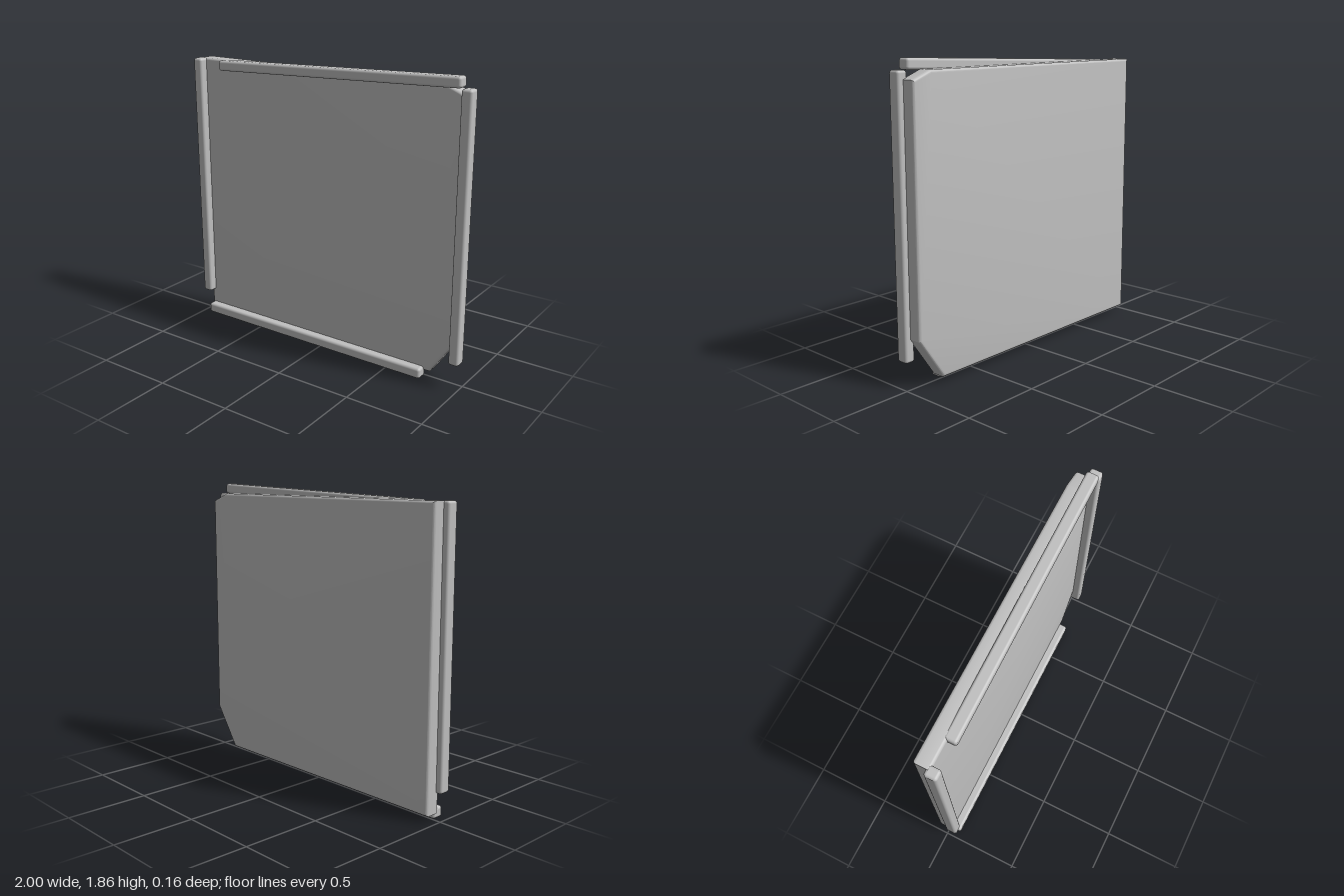
import * as THREE from 'three';
import { toCreasedNormals } from 'three/addons/utils/BufferGeometryUtils.js';
import { RoundedBoxGeometry } from 'three/addons/geometries/RoundedBoxGeometry.js';

const grey = new THREE.MeshStandardMaterial({ color: 0xc0c0c0 });
grey.name = 'light grey';

// Flat panel with cut corners and softened edges
function makePanel() {
  const outline = [
    [-0.965, 0.04], [0.785, 0.04], [0.963, 0.3],
    [0.963, 1.75], [0.835, 1.8], [-0.965, 1.8],
  ].map(([x, y]) => new THREE.Vector2(x, y));
  const bevel = 0.018, back = -0.078, front = 0.025;
  const geometry = new THREE.ExtrudeGeometry(new THREE.Shape(outline), {
    depth: front - back - 2 * bevel,
    bevelThickness: bevel,
    bevelSize: bevel,
    bevelOffset: -bevel,
    bevelSegments: 6,
  });
  geometry.translate(0, 0, back + bevel);
  const mesh = new THREE.Mesh(toCreasedNormals(geometry, 0.35), grey);
  mesh.name = 'panel';
  return mesh;
}

// Rounded trim bar along one edge
function makeTrim(name, width, height, x, y, tilt = 0) {
  const mesh = new THREE.Mesh(new RoundedBoxGeometry(width, height, 0.078, 4, 0.017), grey);
  mesh.name = name;
  mesh.position.set(x, y, 0.039);
  mesh.rotation.z = tilt;
  return mesh;
}

export function createModel() {
  const model = new THREE.Group();
  model.name = 'trimmedPanel';
  model.add(makePanel());

  // Upright trims
  for (const [name, side] of [['rightTrim', -1], ['leftTrim', 1]]) {
    model.add(makeTrim(name, 0.067, 1.64, side * 0.9665, 0.98));
  }

  // Bottom trim and the slightly tilted top trim
  model.add(makeTrim('bottomTrim', 1.7, 0.067, -0.103, 0.0335));
  model.add(makeTrim('topTrim', 1.717, 0.065, 0.073, 1.8, 0.037));
  return model;
}
